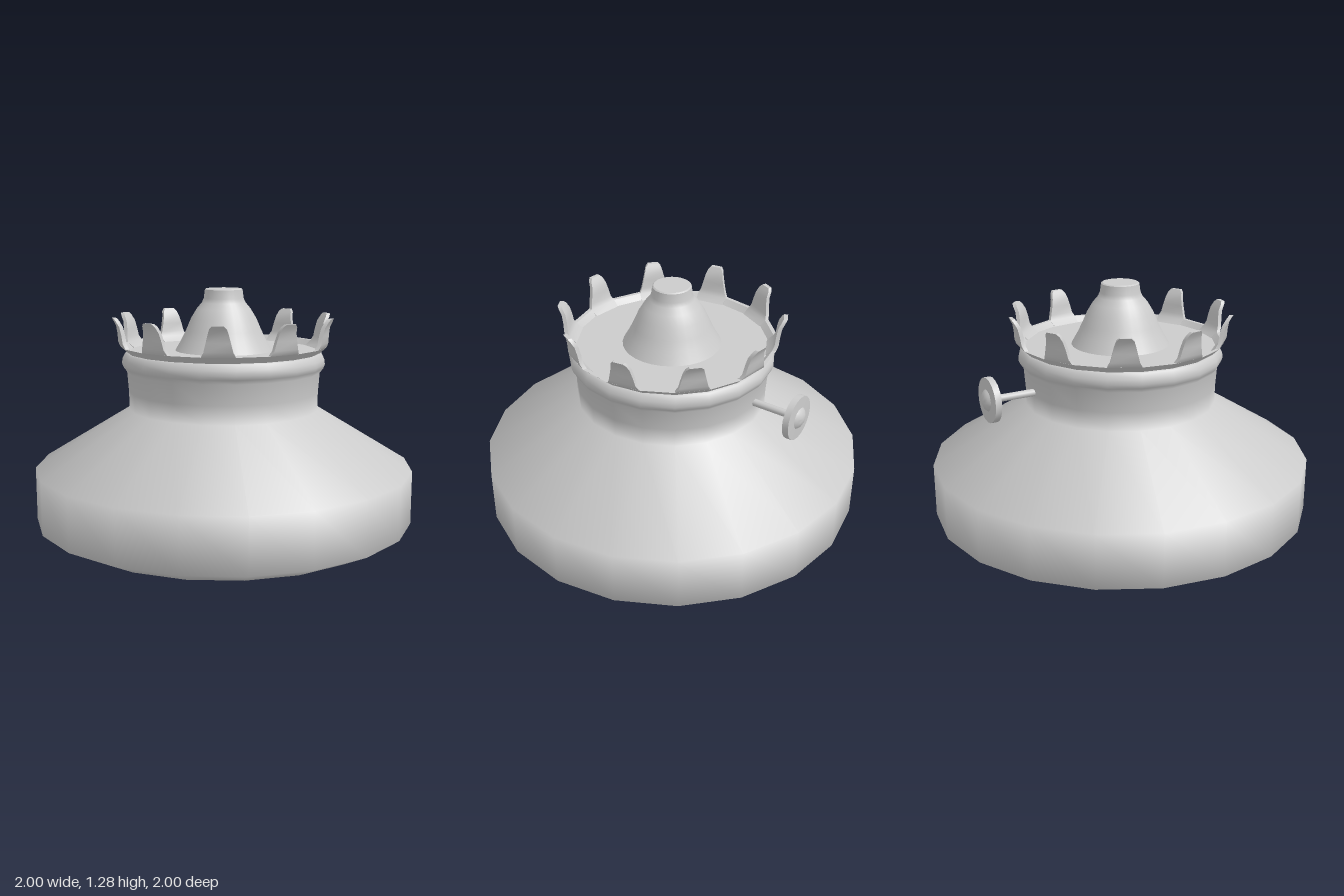
import * as THREE from 'three';
import { toCreasedNormals } from 'three/addons/utils/BufferGeometryUtils.js';

const material = new THREE.MeshStandardMaterial({ color: 0xcccccc });
const SIDES = 20;
const CLAWS = 10;

function mesh(name, geometry) {
  const m = new THREE.Mesh(geometry, material);
  m.name = name;
  return m;
}

function lathe(name, points, sides = SIDES, crease = null) {
  const profile = points.map(([r, y]) => new THREE.Vector2(r, y));
  const g = new THREE.LatheGeometry(profile, sides);
  return mesh(name, crease === null ? g : toCreasedNormals(g, crease));
}

// One claw: rectangular sections that narrow and lean outward (+z) as they rise
function clawGeometry() {
  const thickness = 0.02;
  const rows = [ // height, outer distance, half width
    [0.957, 0.5, 0.078], [0.99, 0.538, 0.084], [1.015, 0.549, 0.071],
    [1.06, 0.554, 0.06], [1.1, 0.562, 0.05], [1.128, 0.577, 0.042], [1.143, 0.586, 0.028],
  ];
  const positions = [];
  const index = [];
  for (const [y, r, w] of rows) {
    positions.push(-w, y, r, w, y, r, w, y, r - thickness, -w, y, r - thickness);
  }
  for (let i = 0; i < rows.length - 1; i++) {
    for (let j = 0; j < 4; j++) {
      const a = i * 4 + j;
      const b = i * 4 + ((j + 1) % 4);
      index.push(a, b, b + 4, a, b + 4, a + 4);
    }
  }
  const t = (rows.length - 1) * 4;
  index.push(t, t + 1, t + 2, t, t + 2, t + 3, 0, 2, 1, 0, 3, 2);
  const g = new THREE.BufferGeometry();
  g.setAttribute('position', new THREE.Float32BufferAttribute(positions, 3));
  g.setIndex(index);
  return toCreasedNormals(g, 0.6);
}

export function createModel() {
  const model = new THREE.Group();
  model.name = 'lampBurner';

  // Wide reservoir with a sloping shoulder, short neck and rolled collar
  model.add(lathe('reservoirBottom', [[0, 0], [0.86, 0]]));
  model.add(lathe('reservoir', [
    [0.86, 0], [1, 0.07], [1, 0.35], [0.5, 0.655], [0.502, 0.75], [0.51, 0.855],
    [0.528, 0.878], [0.536, 0.9], [0.533, 0.925], [0.52, 0.952], [0.505, 0.958],
  ]));
  model.add(lathe('topPlate', [[0.51, 0.962], [0, 0.962]]));

  // Flared band carrying the ring of claws
  const crown = new THREE.Group();
  crown.name = 'clawCrown';
  crown.add(lathe('crownBand', [
    [0.49, 0.955], [0.507, 0.955], [0.545, 0.99], [0.525, 0.99], [0.49, 0.955],
  ], SIDES, 0.6));
  const claw = clawGeometry();
  for (let i = 0; i < CLAWS; i++) {
    const m = mesh('claw', claw);
    m.rotation.y = (i * 2 * Math.PI) / CLAWS - Math.PI / SIDES;
    crown.add(m);
  }
  model.add(crown);

  // Burner dome with a short, flat-topped spout
  model.add(lathe('burnerDome', [
    [0.255, 0.962], [0.222, 1.02], [0.198, 1.07], [0.172, 1.13],
    [0.142, 1.18], [0.115, 1.212], [0.105, 1.235], [0.099, 1.28],
  ], 32));
  model.add(lathe('burnerCap', [[0.099, 1.28], [0.092, 1.285], [0, 1.285]], 32, 0.5));

  // Wick knob: stem and wheel turned about an axis pointing backward
  const knob = new THREE.Group();
  knob.name = 'wickKnob';
  knob.add(lathe('knobStem', [[0.019, 0.46], [0.019, 0.73]], 12));
  knob.add(lathe('knobWheel', [
    [0, 0.722], [0.115, 0.722], [0.115, 0.755], [0.055, 0.757],
    [0.045, 0.767], [0.025, 0.777], [0, 0.781],
  ], 20, 0.6));
  knob.rotation.x = -Math.PI / 2;
  knob.position.y = 0.77;
  model.add(knob);

  return model;
}
